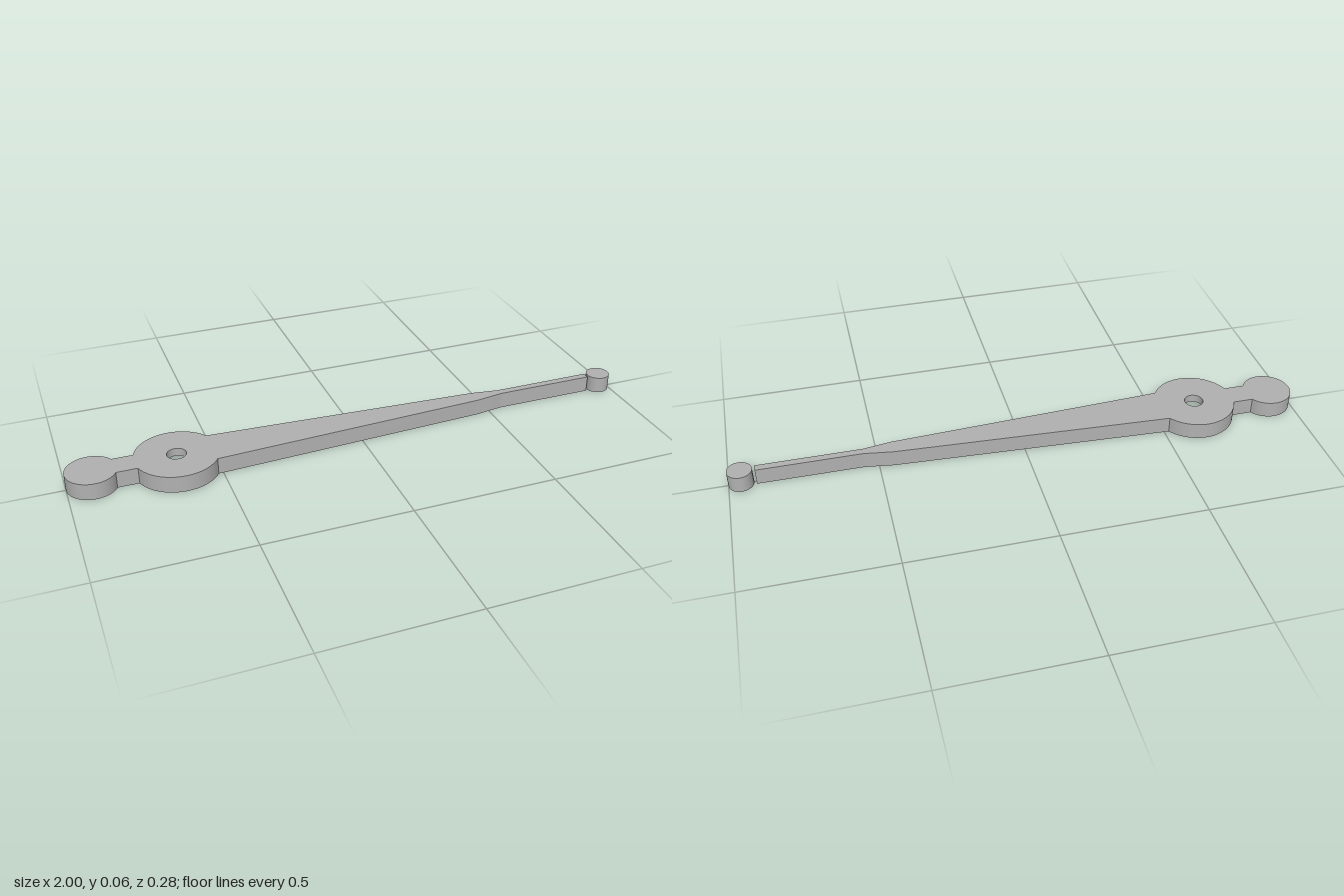
import * as THREE from 'three';
import { mergeGeometries, toCreasedNormals } from 'three/addons/utils/BufferGeometryUtils.js';

const HEIGHT = 0.058, CEILING = 0.03, SEGMENTS = 36;
const HUB_X = -0.635, HUB_R = 0.142;

// Flat horizontal face, facing up or down (all shapes mirror about z = 0)
function cap(shape, holes, y, up) {
  shape.holes = holes;
  const g = new THREE.ShapeGeometry(shape, SEGMENTS).toNonIndexed();
  g.rotateX(up ? -Math.PI / 2 : Math.PI / 2).translate(0, y, 0);
  g.deleteAttribute('uv');
  return g;
}

// Vertical wall along a closed path; inward walls face the middle of a hole
function wall(path, y0, y1, inward = false) {
  const pts = path.getPoints(SEGMENTS);
  if (THREE.ShapeUtils.isClockWise(pts) !== inward) pts.reverse();
  const pos = [];
  pts.forEach((a, i) => {
    const b = pts[(i + 1) % pts.length];
    if (a.distanceTo(b) < 1e-6) return;
    pos.push(a.x, y0, -a.y, b.x, y0, -b.y, b.x, y1, -b.y);
    pos.push(a.x, y0, -a.y, b.x, y1, -b.y, a.x, y1, -a.y);
  });
  const g = new THREE.BufferGeometry();
  g.setAttribute('position', new THREE.Float32BufferAttribute(pos, 3));
  g.computeVertexNormals();
  return g;
}

// Lever outline: end disc, neck, hub, tapered arm and thin bar
function leverOutline() {
  const neck = 0.043, endX = -0.915, endR = 0.085;
  const a = Math.asin(neck / endR), b = Math.asin(neck / HUB_R), c = Math.asin(0.078 / HUB_R);
  const arm = [[0.45, 0.028], [0.55, 0.013], [0.908, 0.013]];
  const s = new THREE.Shape();
  s.absarc(endX, 0, endR, a, 2 * Math.PI - a, false);
  s.absarc(HUB_X, 0, HUB_R, Math.PI + b, 2 * Math.PI - c, false);
  arm.forEach(([x, z]) => s.lineTo(x, -z));
  [...arm].reverse().forEach(([x, z]) => s.lineTo(x, z));
  s.absarc(HUB_X, 0, HUB_R, c, Math.PI - b, false);
  s.closePath();
  return s;
}

// Tapered pocket under the hub, with round ends
function pocketOutline() {
  const r0 = 0.085, r1 = 0.03, x1 = -0.26;
  const t = Math.acos((r0 - r1) / (x1 - HUB_X));
  const s = new THREE.Shape();
  s.absarc(HUB_X, 0, r0, t, 2 * Math.PI - t, false);
  s.absarc(x1, 0, r1, -t, t, false);
  s.closePath();
  return s;
}

export function createModel() {
  const model = new THREE.Group();
  model.name = 'leverArm';
  const grey = new THREE.MeshStandardMaterial({ color: 0xb2b2b2 });
  grey.name = 'grey';

  function add(name, parts) {
    const mesh = new THREE.Mesh(toCreasedNormals(mergeGeometries(parts), 0.12), grey);
    mesh.name = name;
    model.add(mesh);
  }

  const outline = leverOutline(), pocket = pocketOutline();
  const bore = new THREE.Shape().absarc(HUB_X, 0, 0.033, 0, Math.PI * 2, false);

  // Lever body with its top, underside and outer wall
  add('leverBody', [
    cap(outline, [bore], HEIGHT, true),
    cap(outline, [pocket], 0, false),
    wall(outline, 0, HEIGHT),
  ]);

  // Pocket walls and ceiling
  add('undersidePocket', [
    cap(pocket, [bore], CEILING, false),
    wall(pocket, 0, CEILING, true),
  ]);

  // Through hole for the screw
  add('screwHole', [wall(bore, CEILING, HEIGHT, true)]);

  // Separate round tip just beyond the bar
  const tip = new THREE.Shape().absarc(0.958, 0, 0.042, 0, Math.PI * 2, false);
  add('tipDisc', [cap(tip, [], HEIGHT, true), cap(tip, [], 0, false), wall(tip, 0, HEIGHT)]);

  return model;
}
